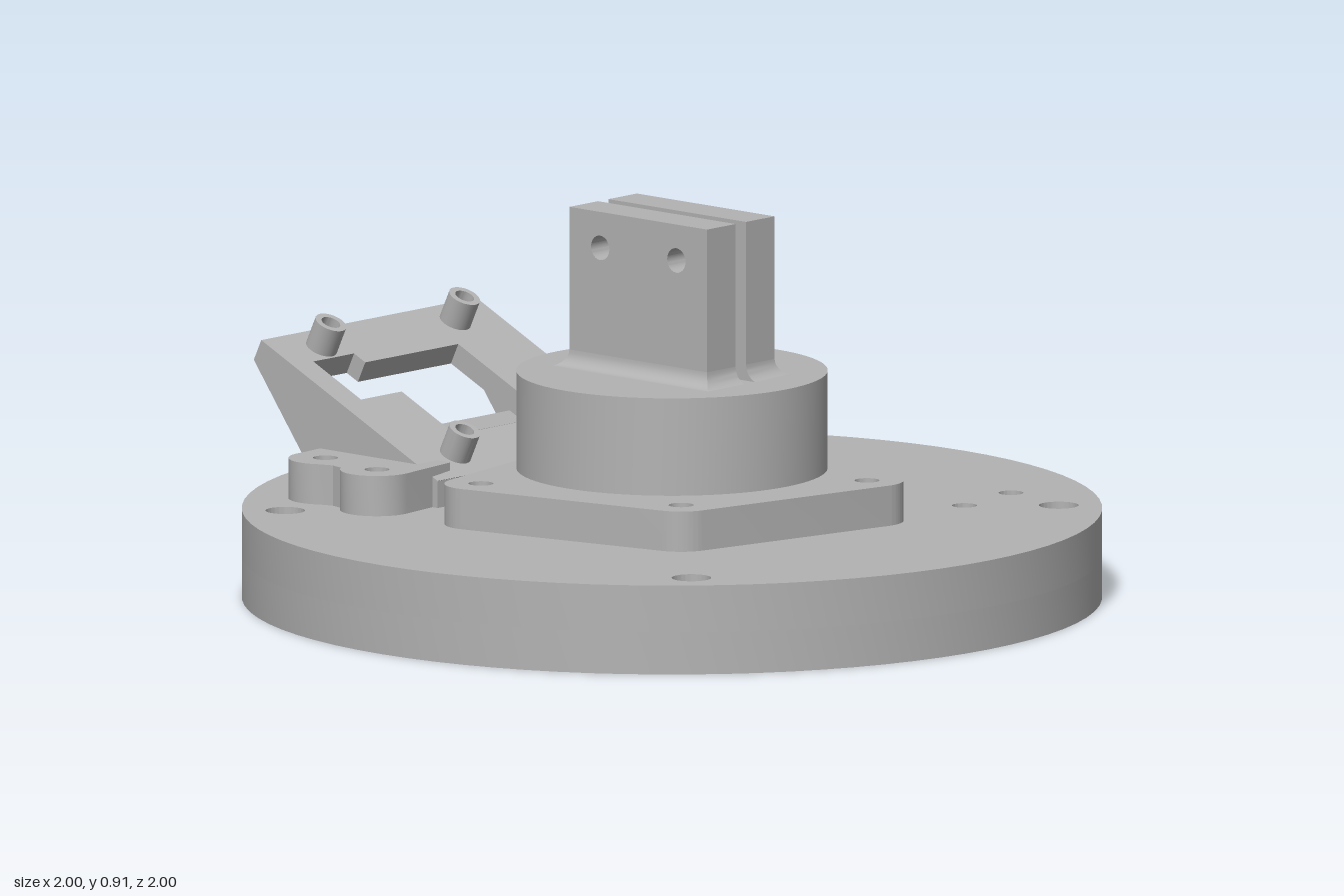
import * as THREE from 'three';
import { toCreasedNormals } from 'three/addons/utils/BufferGeometryUtils.js';

const grey = new THREE.MeshStandardMaterial({ color: 0xb2b2b2 });
grey.name = 'machined grey';

function add(parent, name, geometry) {
  const mesh = new THREE.Mesh(toCreasedNormals(geometry, 0.5), grey);
  mesh.name = name;
  parent.add(mesh);
  return mesh;
}

const points = (list) => list.map(([x, y]) => new THREE.Vector2(x, y));
const polygon = (list) => new THREE.Shape(points(list));
const disc = (x, y, r) => new THREE.Shape().absarc(x, y, r, 0, Math.PI * 2, false);
const hexagon = (x, y, r) => polygon(Array.from({ length: 6 }, (_, i) => {
  const a = i * Math.PI / 3;
  return [x + r * Math.cos(a), y + r * Math.sin(a)];
}));

function extrude(shape, depth, holes = [], curveSegments = 12) {
  shape.holes.push(...holes);
  return new THREE.ExtrudeGeometry(shape, { depth, bevelEnabled: false, curveSegments });
}

// Plan shape given as (x, -z), extruded upward from y0 to y1
const slab = (shape, y0, y1, holes, segments) =>
  extrude(shape, y1 - y0, holes, segments).rotateX(-Math.PI / 2).translate(0, y0, 0);

// Side shape given as (-z, y), extruded along x from x0 to x1
const sidePiece = (shape, x0, x1, holes) =>
  extrude(shape, x1 - x0, holes).rotateY(Math.PI / 2).translate(x0, 0, 0);

// Convex outline wrapped round a set of circles [x, y, r]
function wrap(circles, steps = 120) {
  const out = [];
  for (let i = 0; i < steps; i++) {
    const c = Math.cos(i * 2 * Math.PI / steps), s = Math.sin(i * 2 * Math.PI / steps);
    const reach = ([x, y, r]) => x * c + y * s + r;
    const [x, y, r] = circles.reduce((a, b) => (reach(b) > reach(a) ? b : a));
    out.push([x + r * c, y + r * s]);
  }
  return polygon(out);
}

// Concave skirt blending a rectangular post into the hub top
function skirt(x0, x1, halfZ, y0, r) {
  const rings = [], pos = [], steps = 8;
  for (let i = 0; i <= steps; i++) {
    const a = i / steps * Math.PI / 2, f = r * (1 - Math.sin(a)), y = y0 + r * (1 - Math.cos(a));
    rings.push([[x0, y, halfZ + f], [x1 + f, y, halfZ + f], [x1 + f, y, -halfZ - f], [x0, y, -halfZ - f]]);
  }
  for (let i = 0; i < steps; i++) {
    for (let j = 0; j < 4; j++) {
      const k = (j + 1) % 4, [a, b] = [rings[i], rings[i + 1]];
      pos.push(...a[j], ...a[k], ...b[k], ...a[j], ...b[k], ...b[j]);
    }
  }
  const g = new THREE.BufferGeometry();
  g.setAttribute('position', new THREE.Float32BufferAttribute(pos, 3));
  g.computeVertexNormals();
  return g;
}

export function createModel() {
  const model = new THREE.Group();
  model.name = 'clampStand';

  // Hole positions in plan (x, -z)
  const corners = [[0.632, 0.64], [-0.632, 0.64], [0.632, -0.64], [-0.632, -0.64]];
  const flangeBolts = [[-0.45, 0.19], [-0.34, -0.34], [0.185, -0.445]];
  const footBolts = [[0.48, 0.49], [0.45, 0.68]];
  const bolts = [...flangeBolts, ...footBolts, ...footBolts.map(([x, y]) => [-x, y]),
    [0.675, 0.455], [0.675, -0.45], [0.482, -0.48]];
  const pockets = [[0.4, 0], [-0.4, 0], [0, 0.4], [0, -0.4]];
  const drill = (list, r) => list.map(([x, y]) => disc(x, y, r));

  // Round base: lower layer holds nut pockets and blind holes, upper layer the bolt holes
  const base = new THREE.Group();
  base.name = 'base';
  model.add(base);
  add(base, 'baseLower', slab(disc(0, 0, 1), 0, 0.1, [
    ...drill(corners, 0.046), ...drill(pockets, 0.08), ...bolts.map(([x, y]) => hexagon(x, y, 0.05))], 40));
  add(base, 'baseUpper', slab(disc(0, 0, 1), 0.1, 0.21,
    [...drill(corners, 0.046), ...drill(bolts, 0.029)], 40));

  // Flange and hub
  add(model, 'flange', slab(wrap([...flangeBolts.map(([x, y]) => [x, y, 0.085]), [0, 0, 0.355]]),
    0.21, 0.305, drill(flangeBolts, 0.029)));
  add(model, 'hub', new THREE.CylinderGeometry(0.362, 0.362, 0.325, 80).translate(0, 0.3725, 0));

  // Split clamp: two posts, nut pockets on the outer +x face
  const postFace = () => polygon([[-0.217, 0.53], [0.217, 0.53], [0.217, 0.91], [-0.217, 0.91]]);
  const clampHoles = [[-0.12, 0.825], [0.12, 0.825]];
  const clamp = new THREE.Group();
  clamp.name = 'clamp';
  model.add(clamp);
  add(clamp, 'postLeftInner', sidePiece(postFace(), 0.018, 0.07, drill(clampHoles, 0.029)));
  add(clamp, 'postLeftOuter', sidePiece(postFace(), 0.07, 0.116,
    clampHoles.map(([x, y]) => hexagon(x, y, 0.053))));
  add(clamp, 'postRight', sidePiece(postFace(), -0.116, -0.018, drill(clampHoles, 0.029)));
  add(clamp, 'skirtLeft', skirt(0.018, 0.116, 0.217, 0.533, 0.04));
  add(clamp, 'skirtRight', skirt(0.018, 0.116, 0.217, 0.533, 0.04).rotateY(Math.PI));

  // Tilted bracket behind the hub
  const bracket = new THREE.Group();
  bracket.name = 'bracket';
  model.add(bracket);
  for (const side of [1, -1]) {
    // Two-lobed foot
    const foot = new THREE.Shape();
    const arc = (x, y, from, to) => {
      for (let i = 0; i <= 16; i++) {
        const a = THREE.MathUtils.degToRad(from + (to - from) * i / 16);
        foot.lineTo(side * (x + 0.086 * Math.cos(a)), y + 0.086 * Math.sin(a));
      }
    };
    foot.moveTo(side * 0.3, 0.425);
    arc(0.48, 0.49, -97, 62);
    foot.lineTo(side * 0.512, 0.6);
    arc(0.45, 0.68, -32, 98);
    foot.lineTo(side * 0.3, 0.775);
    add(bracket, side > 0 ? 'footLeft' : 'footRight', slab(foot, 0.21, 0.305,
      drill(footBolts.map(([x, y]) => [side * x, y]), 0.029)));

    // Triangular side wall
    const wall = polygon([[0.4, 0.21], [0.77, 0.21], [0.978, 0.487], [0.955, 0.536], [0.4, 0.273]]);
    add(bracket, side > 0 ? 'gussetLeft' : 'gussetRight',
      sidePiece(wall, side > 0 ? 0.3 : -0.37, side > 0 ? 0.37 : -0.3));
  }
  add(bracket, 'crossbar', new THREE.BoxGeometry(0.62, 0.095, 0.115).translate(0, 0.2575, -0.7175));

  // Sloping plate with stepped window and hollow standoffs
  const tilt = new THREE.Group();
  tilt.name = 'slopingPlate';
  tilt.position.set(0, 0.274, -0.4);
  tilt.rotation.x = THREE.MathUtils.degToRad(-64.6);
  bracket.add(tilt);
  const pins = [[-0.23, 0.08], [0.23, 0.08], [-0.23, 0.547], [0.23, 0.547]];
  const windowHole = polygon([[-0.16, 0.15], [0.16, 0.15], [0.16, 0.465], [-0.16, 0.465],
    [-0.16, 0.504], [-0.3, 0.504], [-0.3, 0.338], [-0.16, 0.338]]);
  add(tilt, 'plate', extrude(polygon([[-0.37, 0], [0.37, 0], [0.37, 0.615], [-0.37, 0.615]]), 0.054,
    [windowHole, ...drill(pins, 0.023)]).translate(0, 0, -0.054));
  pins.forEach(([x, y], i) =>
    add(tilt, `standoff${i + 1}`, extrude(disc(x, y, 0.038), 0.07, [disc(x, y, 0.023)])));

  return model;
}
